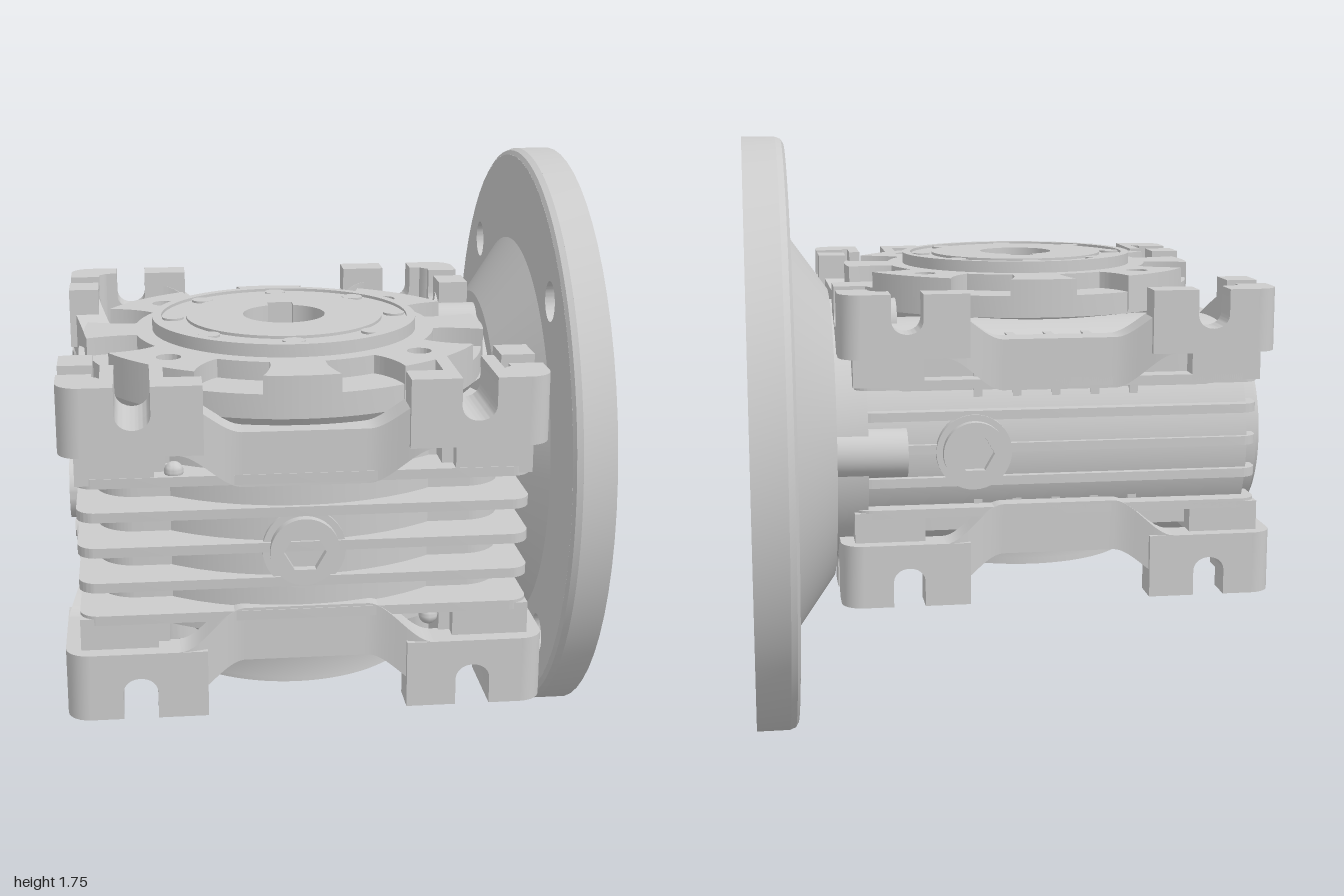
import * as THREE from 'three';
import { toCreasedNormals } from 'three/addons/utils/BufferGeometryUtils.js';

const MID = 0.885;              // mid height of the housing
const GX = -0.13, GZ = 0.37;    // vertical output axis
const WZ = -0.125, WY = 0.875;  // horizontal input axis
const TAU = Math.PI * 2;

export function createModel() {
  const root = new THREE.Group();
  const mat = new THREE.MeshStandardMaterial({ color: 0xcccccc });

  const add = (geo, name, parent = root) => {
    const mesh = new THREE.Mesh(toCreasedNormals(geo, 0.6), mat);
    mesh.name = name;
    parent.add(mesh);
    return mesh;
  };
  const circle = (x, y, r, C = THREE.Shape) => new C().absarc(x, y, r, 0, TAU, false);
  const extrude = (shape, depth) =>
    new THREE.ExtrudeGeometry(shape, { depth, bevelEnabled: false, curveSegments: 32 });
  // shape (x, z) raised from y0 to y1
  const upright = (shape, y0, y1) => extrude(shape, y1 - y0).rotateX(Math.PI / 2).translate(0, y1, 0);
  // shape (-z, y) running from x0 to x1
  const along = (shape, x0, x1) => extrude(shape, x1 - x0).rotateY(Math.PI / 2).translate(x0, 0, 0);
  const lathe = pts => new THREE.LatheGeometry(pts.map(p => new THREE.Vector2(...p)), 96);
  const latheX = pts => lathe(pts).rotateZ(-Math.PI / 2).translate(0, WY, WZ);
  const rodX = (r, x0, x1, y, z, seg = 32) =>
    new THREE.CylinderGeometry(r, r, x1 - x0, seg).rotateZ(Math.PI / 2).translate((x0 + x1) / 2, y, z);
  const box = (w, h, d, x, y, z) => new THREE.BoxGeometry(w, h, d).translate(x, y, z);

  // rounded plan outline with the output bore cut through
  function plan(x0, x1, z0, z1, r) {
    const s = new THREE.Shape();
    s.absarc(x1 - r, z1 - r, r, 0, Math.PI / 2);
    s.absarc(x0 + r, z1 - r, r, Math.PI / 2, Math.PI);
    s.absarc(x0 + r, z0 + r, r, Math.PI, Math.PI * 1.5);
    s.absarc(x1 - r, z0 + r, r, Math.PI * 1.5, TAU);
    s.closePath();
    s.holes.push(circle(GX, GZ, 0.2, THREE.Path));
    return s;
  }
  // ring whose bore carries a keyway towards angle a
  function keyedRing(cx, cy, R, r, depth, w, a) {
    const s = circle(cx, cy, R), p = new THREE.Path(), k = Math.asin(w / r);
    p.absarc(cx, cy, r, a + k, a + TAU - k, false);
    for (const side of [-1, 1]) {
      p.lineTo(cx + depth * Math.cos(a) - side * w * Math.sin(a), cy + depth * Math.sin(a) + side * w * Math.cos(a));
    }
    p.closePath();
    s.holes.push(p);
    return s;
  }

  // Housing: core, round gear chamber, worm tube and cooling fins
  add(upright(plan(-0.66, 0.41, -0.42, 0.84, 0.1), MID - 0.25, MID + 0.25), 'housingCore');
  const chamber = circle(GX, GZ, 0.58);
  chamber.holes.push(circle(GX, GZ, 0.2, THREE.Path));
  add(upright(chamber, MID - 0.25, MID + 0.31), 'gearChamber');
  add(rodX(0.34, -0.68, 0.475, WY, WZ, 64), 'wormTube');
  for (const v of [-0.185, -0.095, 0, 0.095, 0.185]) {
    add(upright(plan(-0.71, 0.46, -0.48, 0.962, 0.05), MID + v - 0.013, MID + v + 0.013), 'coolingFin');
  }
  for (const s of [-1, 1]) for (let i = 0; i < 5; i++) {
    add(box(0.025, 0.2, 0.2, -0.35 + i * 0.113, MID + s * 0.2, -0.33), 'backRib');
  }
  for (const [x, y] of [[-0.46, 1.09], [0.2, 0.67]]) {
    add(new THREE.SphereGeometry(0.025, 16, 12).translate(x, y, 0.93), 'frontStud');
  }

  // Mounting rails: slotted blocks at the ends, a dipped band between
  function slottedBlock(u0, u1, s, v0, m, f) {
    const p = new THREE.Shape(), P = (u, v) => p.lineTo(m * u, f * v);
    p.moveTo(m * u0, f * v0);
    P(u1, v0);
    P(u1, 0.445);
    P(s + 0.045, 0.445);
    P(s + 0.045, 0.375);
    p.bezierCurveTo(m * (s + 0.045), f * 0.32, m * (s - 0.045), f * 0.32, m * (s - 0.045), f * 0.375);
    P(s - 0.045, 0.445);
    P(u0, 0.445);
    p.closePath();
    return p;
  }
  function band(d, f, inset) {
    const e = d + 0.07, geo = new THREE.BoxGeometry(2 * e, 1, 0.09, 60, 1, 1);
    const pos = geo.attributes.position, { lerp, smoothstep } = THREE.MathUtils;
    for (let i = 0; i < pos.count; i++) {
      const t = smoothstep(e - Math.abs(pos.getX(i)), 0, 0.17);
      const outer = pos.getY(i) * f > 0;
      pos.setY(i, f * (outer ? lerp(0.4, 0.31, t) : lerp(0.265, 0.165, t)));
      pos.setZ(i, pos.getZ(i) - 0.047 - inset * t);
    }
    return geo;
  }
  const sides = [
    ['front', -0.125, 1, 0, 0.565, 0.435, 0.26, 0.038],
    ['back', -0.125, -0.52, Math.PI, 0.565, 0.435, 0.26, 0.038],
    ['left', 0.5, 0.24, Math.PI / 2, 0.7, 0.575, 0.42, 0.048],
    ['right', -0.75, 0.24, -Math.PI / 2, 0.7, 0.575, 0.42, 0.048],
  ];
  for (const [name, x, z, turn, h, s, d, inset] of sides) {
    const g = new THREE.Group();
    g.name = name + 'Rails';
    g.position.set(x, MID, z);
    g.rotation.y = turn;
    root.add(g);
    for (const f of [-1, 1]) {
      add(band(d, f, inset), 'railBand', g);
      for (const m of [-1, 1]) {
        add(extrude(slottedBlock(d, h, s, 0.265, m, f), 0.09).translate(0, 0, -0.09), 'mountingBlock', g);
        if (name === 'front') {
          add(extrude(slottedBlock(s - 0.08, s + 0.08, s, 0.2, m, f), 0.15).translate(0, 0, -0.23), 'slotLug', g);
        }
      }
    }
  }
  for (const f of [-1, 1]) for (const [x, dx] of [[-0.69, 1], [0.44, -1]]) for (const [z, dz] of [[-0.46, 1], [0.94, -1]]) {
    add(new THREE.CylinderGeometry(0.06, 0.06, 0.18, 24).translate(x, MID + f * 0.355, z), 'railCorner');
    add(box(0.2, 0.09, 0.2, x + dx * 0.08, MID + f * 0.225, z + dz * 0.08), 'cornerFloor');
  }

  // Top output face: disc with spokes and bolt pads standing around a ring
  const face = (turn, name) => {
    const g = new THREE.Group();
    g.name = name;
    g.position.set(GX, MID, GZ);
    g.rotation.x = turn;
    root.add(g);
    for (let i = 0; i < 8; i++) {
      const a = i * Math.PI / 4;
      add(new THREE.CylinderGeometry(0.03, 0.03, 0.03, 20)
        .translate(0.312 * Math.cos(a), 0.463, 0.312 * Math.sin(a)), 'coverPin', g);
    }
    return g;
  };
  const coverProfile = [[0.42, 0.445], [0.37, 0.445], [0.37, 0.48], [0.345, 0.48], [0.345, 0.472],
    [0.2, 0.472]];
  const top = face(0, 'topOutputFace');
  add(lathe([[0.2, 0.25], [0.5, 0.25], [0.555, 0.33], [0.555, 0.395], [0.42, 0.395], ...coverProfile, [0.2, 0.25]]), 'topDisc', top);
  for (let i = 0; i < 8; i++) {
    const a = i * Math.PI / 4, bolt = i % 2, w = bolt ? 0.28 : 0.18;
    const at = (r, t) => [r * Math.cos(a + t), r * Math.sin(a + t)];
    const pad = new THREE.Shape();
    pad.absarc(0, 0, 0.56, a - w, a + w, false);
    pad.quadraticCurveTo(...at(0.46, w * 0.75), ...at(0.39, w * 1.1));
    pad.absarc(0, 0, 0.39, a + w * 1.1, a - w * 1.1, true);
    pad.quadraticCurveTo(...at(0.46, -w * 0.75), ...at(0.56, -w));
    if (bolt) pad.holes.push(circle(...at(0.47, 0), 0.033, THREE.Path));
    add(upright(pad, 0.335, 0.445), bolt ? 'boltPad' : 'spokePad', top);
  }

  // Bottom output face: plain tapered disc with four bolt bosses
  const bottom = face(Math.PI, 'bottomOutputFace');
  add(lathe([[0.2, 0.2], [0.57, 0.2], [0.53, 0.26], [0.44, 0.33], [0.42, 0.38], ...coverProfile, [0.2, 0.2]]), 'bottomDisc', bottom);
  for (let i = 0; i < 4; i++) {
    const a = (i + 0.5) * Math.PI / 2, x = 0.47 * Math.cos(a), z = 0.47 * Math.sin(a);
    const boss = circle(x, z, 0.075);
    boss.holes.push(circle(x, z, 0.033, THREE.Path));
    add(upright(boss, 0.22, 0.435), 'boltBoss', bottom);
  }
  add(upright(keyedRing(GX, GZ, 0.275, 0.115, 0.15, 0.036, -Math.PI / 2), MID - 0.48, MID + 0.48), 'outputHub');

  // Motor flange: drilled disc, rounded rim, dished cone and keyed input sleeve
  for (const [R, x0, x1] of [[0.875, 0.655, 0.75], [0.855, 0.63, 0.655]]) {
    const disc = circle(-WZ, WY, R);
    disc.holes.push(circle(-WZ, WY, 0.595, THREE.Path));
    for (const a of [-0.51, 0.51]) for (const b of [-0.51, 0.51]) {
      disc.holes.push(circle(-WZ + a, WY + b, 0.058, THREE.Path));
    }
    add(along(disc, x0, x1), 'motorFlange');
  }
  add(latheX([[0.855, 0.63], [0.868, 0.638], [0.875, 0.655]]), 'flangeRim');
  add(latheX([[0.225, 0.42], [0.375, 0.42], [0.375, 0.51], [0.43, 0.51], [0.6, 0.632], [0.6, 0.69],
    [0.44, 0.56], [0.225, 0.56], [0.225, 0.42]]), 'flangeCone');
  add(along(keyedRing(-WZ, WY, 0.157, 0.07, 0.1, 0.025, 0), 0.4, 0.68), 'inputSleeve');
  for (let i = 0; i < 4; i++) {
    const a = i * Math.PI / 2;
    add(rodX(0.07, 0.31, 0.51, WY + 0.33 * Math.cos(a), WZ + 0.33 * Math.sin(a)), 'flangeBoltBoss');
  }

  // Bearing cover with its bolt bosses
  add(rodX(0.285, -0.725, -0.6, WY, WZ, 64), 'bearingSeat');
  add(rodX(0.255, -0.742, -0.6, WY, WZ, 64), 'bearingCover');
  for (const a of [-1, 1]) for (const b of [-1, 1]) {
    const y = WY + a * 0.245, z = WZ + b * 0.16;
    add(rodX(0.055, -0.745, -0.57, y, z), 'coverBoltBoss');
    add(rodX(0.028, -0.75, -0.7, y, z, 6), 'coverBolt');
  }

  // Hex socket plugs
  const plugs = [[GX, 0.925, 0], [0.12, -0.455, Math.PI], [-0.69, GZ, -Math.PI / 2]];
  for (const [x, z, turn] of plugs) {
    const g = new THREE.Group();
    g.name = 'plug';
    g.position.set(x, WY, z);
    g.rotation.y = turn;
    root.add(g);
    const hex = new THREE.Path();
    for (let i = 0; i <= 6; i++) {
      const c = 0.055 * Math.cos(i * TAU / 6), s = 0.055 * Math.sin(i * TAU / 6);
      i ? hex.lineTo(c, s) : hex.moveTo(c, s);
    }
    const head = circle(0, 0, 0.09);
    head.holes.push(hex);
    add(extrude(head, 0.055), 'plugHead', g);
    add(new THREE.CylinderGeometry(0.108, 0.108, 0.1, 40).rotateX(Math.PI / 2).translate(0, 0, -0.02), 'plugSeat', g);
  }
  return root;
}
